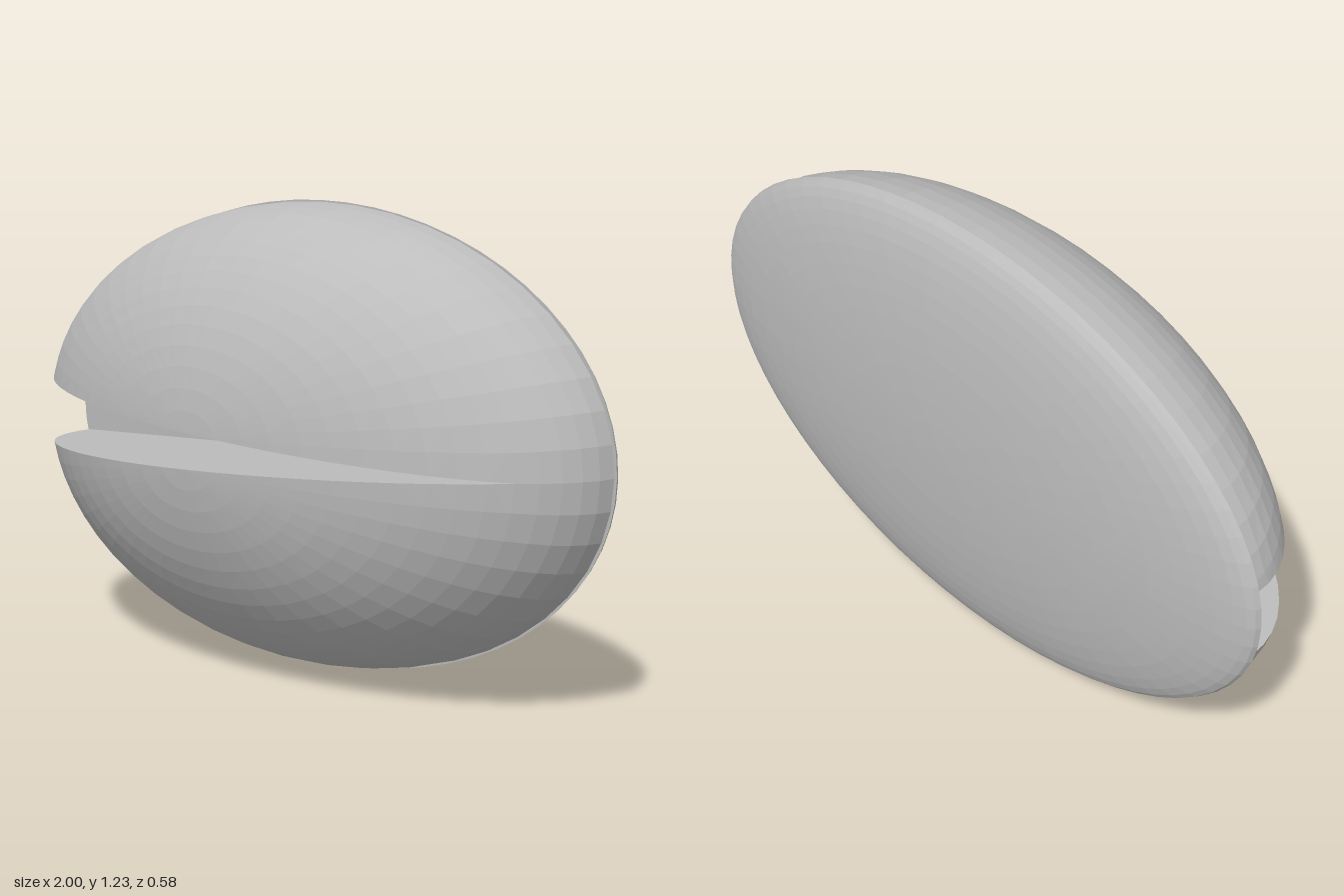
import * as THREE from 'three';

const CY = 0.617;          // centre height
const RIM = -0.18;         // plane where dome and back shell meet
const A = 0.992, B = 0.613, DEPTH = 0.47; // dome half-axes
const TIP = 0.88;          // x where the groove closes
const X_MIN = -0.979;      // where the groove edge meets the rim
const RINGS = 16, STEPS = 24;

const groove = (x) => Math.max(0, 0.1 * (TIP - x) / 1.88);

// Point on one dome half: polar grid squeezed outward to leave the groove open
function domePoint(ring, step, side) {
  const r = Math.sin((ring / RINGS) * Math.PI / 2);
  const t = (step / STEPS) * Math.PI;
  const ux = r * Math.cos(t), uy = r * Math.sin(t);
  const limit = Math.sqrt(Math.max(0, 1 - ux * ux));
  const s = limit > 1e-6 ? Math.min(1, uy / limit) : 0;
  const x = ux < 0 ? -ux * X_MIN : ux * A;
  const edge = B * Math.sqrt(Math.max(0, 1 - (x / A) ** 2));
  const h = Math.min(groove(x), edge);
  const y = h + s * (edge - h);
  const lift = ring === RINGS ? 0 : Math.sqrt(Math.max(0, 1 - (x / A) ** 2 - (y / B) ** 2));
  return [x, side * y, RIM + DEPTH * lift];
}

// Collects quads, reversing corners for the mirrored half
function quadGeometry(quads, side) {
  const pos = [];
  for (const [a, b, c, d] of quads) {
    const order = side > 0 ? [a, b, c, a, c, d] : [a, c, b, a, d, c];
    for (const p of order) pos.push(...p);
  }
  const g = new THREE.BufferGeometry();
  g.setAttribute('position', new THREE.Float32BufferAttribute(pos, 3));
  g.computeVertexNormals();
  return g;
}

function domeHalf(side) {
  const quads = [];
  for (let i = 0; i < RINGS; i++) {
    for (let j = 0; j < STEPS; j++) {
      quads.push([domePoint(i, j, side), domePoint(i + 1, j, side),
        domePoint(i + 1, j + 1, side), domePoint(i, j + 1, side)]);
    }
  }
  return quadGeometry(quads, side);
}

// Straight wall from the groove edge down to the rim plane
function grooveWall(side) {
  const line = [];
  for (let i = RINGS; i > 0; i--) line.push(domePoint(i, STEPS, side));
  for (let i = 0; i <= RINGS; i++) {
    const p = domePoint(i, 0, side);
    if (p[0] < TIP + 0.01) line.push(p);
  }
  const quads = [];
  for (let i = 0; i < line.length - 1; i++) {
    const p = line[i], q = line[i + 1];
    quads.push([p, [p[0], p[1], RIM], [q[0], q[1], RIM], q]);
  }
  return quadGeometry(quads, side);
}

export function createModel() {
  const model = new THREE.Group();
  model.name = 'groovedDome';
  const grey = new THREE.MeshStandardMaterial({ color: 0xbcbcbc });
  grey.name = 'grey';
  grey.flatShading = true;

  const add = (geometry, name) => {
    const mesh = new THREE.Mesh(geometry, grey);
    mesh.name = name;
    mesh.position.y = CY;
    model.add(mesh);
    return mesh;
  };

  // Front dome in two halves with the tapering groove between them
  for (const [side, label] of [[1, 'upper'], [-1, 'lower']]) {
    add(domeHalf(side), label + 'Dome');
    add(grooveWall(side), label + 'GrooveWall');
  }

  // Shallow back shell
  const back = new THREE.SphereGeometry(1, 64, 14, 0, Math.PI * 2, Math.PI / 2, Math.PI / 2);
  back.rotateX(Math.PI / 2);
  back.scale(1, CY, 0.11);
  back.translate(0, 0, RIM);
  add(back, 'backShell');

  // Flat face closing the back shell, seen as the groove floor
  const floor = new THREE.CircleGeometry(1, 64);
  floor.scale(1, CY, 1);
  floor.translate(0, 0, RIM);
  add(floor, 'grooveFloor');

  return model;
}
